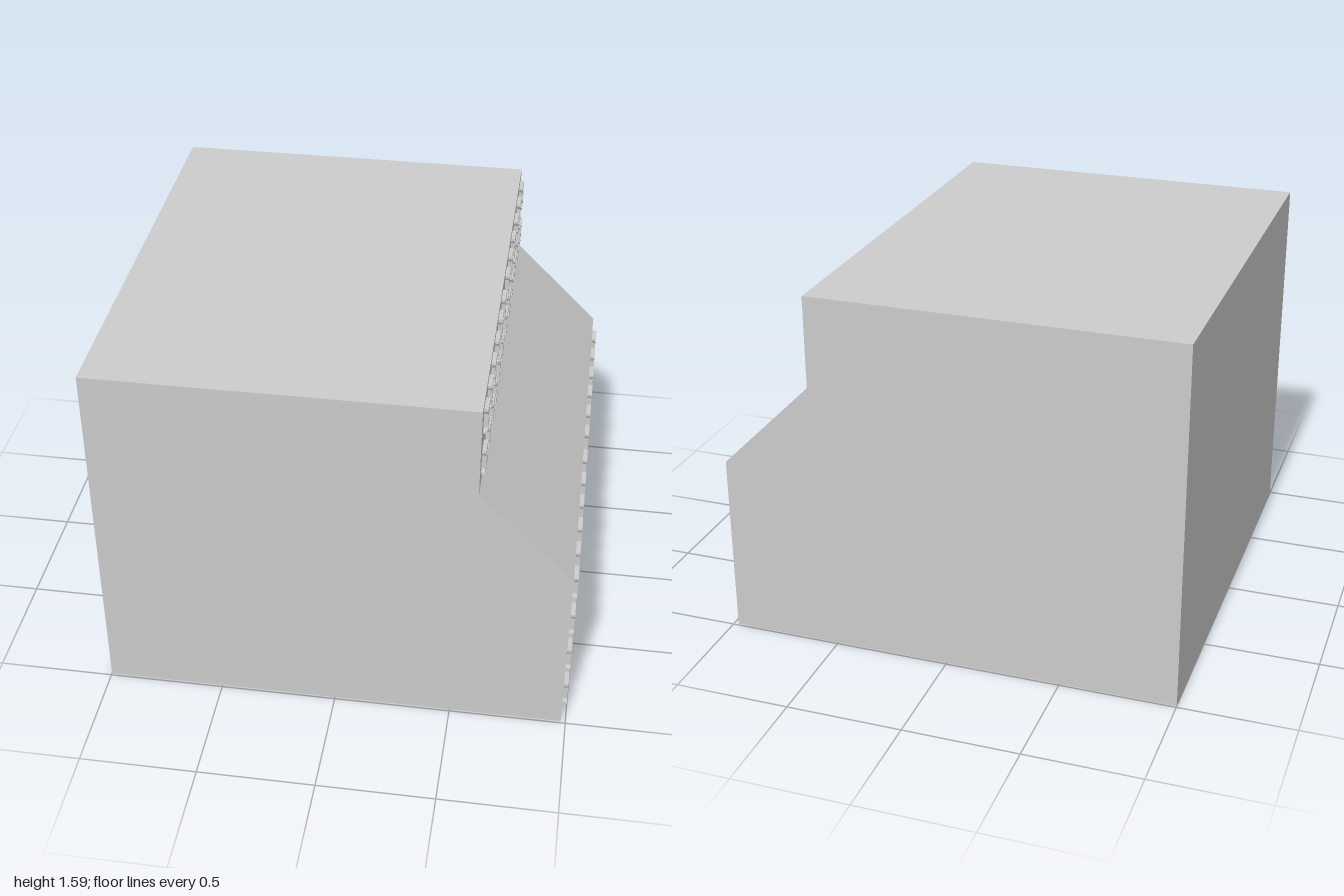
import * as THREE from 'three';

const material = new THREE.MeshStandardMaterial({ color: 0xcccccc, flatShading: true });

// Closed outline from corner pairs
function outline(points, Type = THREE.Shape) {
  return new Type(points.map(([x, y]) => new THREE.Vector2(x, y)));
}

// Window surround: flared at head and sill, with a rectangular opening, facing +x
function windowGeometry() {
  const shape = outline([
    [-0.04, -0.057], [0.04, -0.057], [0.04, -0.046], [0.032, -0.032],
    [0.032, 0.032], [0.04, 0.046], [0.04, 0.057], [-0.04, 0.057],
    [-0.04, 0.046], [-0.032, 0.032], [-0.032, -0.032], [-0.04, -0.046],
  ]);
  shape.holes.push(outline([[-0.019, -0.042], [-0.019, 0.042], [0.019, 0.042], [0.019, -0.042]], THREE.Path));
  const geometry = new THREE.ExtrudeGeometry(shape, { depth: 0.02, bevelEnabled: false });
  return geometry.rotateY(Math.PI / 2);
}

export function createModel() {
  const model = new THREE.Group();
  model.name = 'steppedBuilding';

  // Solid block with a sloping setback on the +x side
  const profile = outline([[-1, 0], [0.98, 0], [0.98, 0.795], [0.583, 1.19], [0.583, 1.588], [-1, 1.588]]);
  const bodyGeometry = new THREE.ExtrudeGeometry(profile, { depth: 1.98, bevelEnabled: false });
  bodyGeometry.translate(0, 0, -0.99);
  const body = new THREE.Mesh(bodyGeometry, material);
  body.name = 'buildingBody';
  model.add(body);

  // Two bays of six windows on every storey
  const frame = windowGeometry();
  const storeys = [
    { name: 'lowerWindows', x: 0.98, rows: [0.1, 0.3, 0.5, 0.7] },
    { name: 'upperWindows', x: 0.58, rows: [1.3, 1.5] },
  ];
  for (const { name, x, rows } of storeys) {
    const group = new THREE.Group();
    group.name = name;
    for (const y of rows) {
      for (const firstZ of [0.887, -0.104]) {
        for (let i = 0; i < 6; i++) {
          const mesh = new THREE.Mesh(frame, material);
          mesh.name = 'windowFrame';
          mesh.position.set(x, y, firstZ - i * 0.159);
          group.add(mesh);
        }
      }
    }
    model.add(group);
  }
  return model;
}
